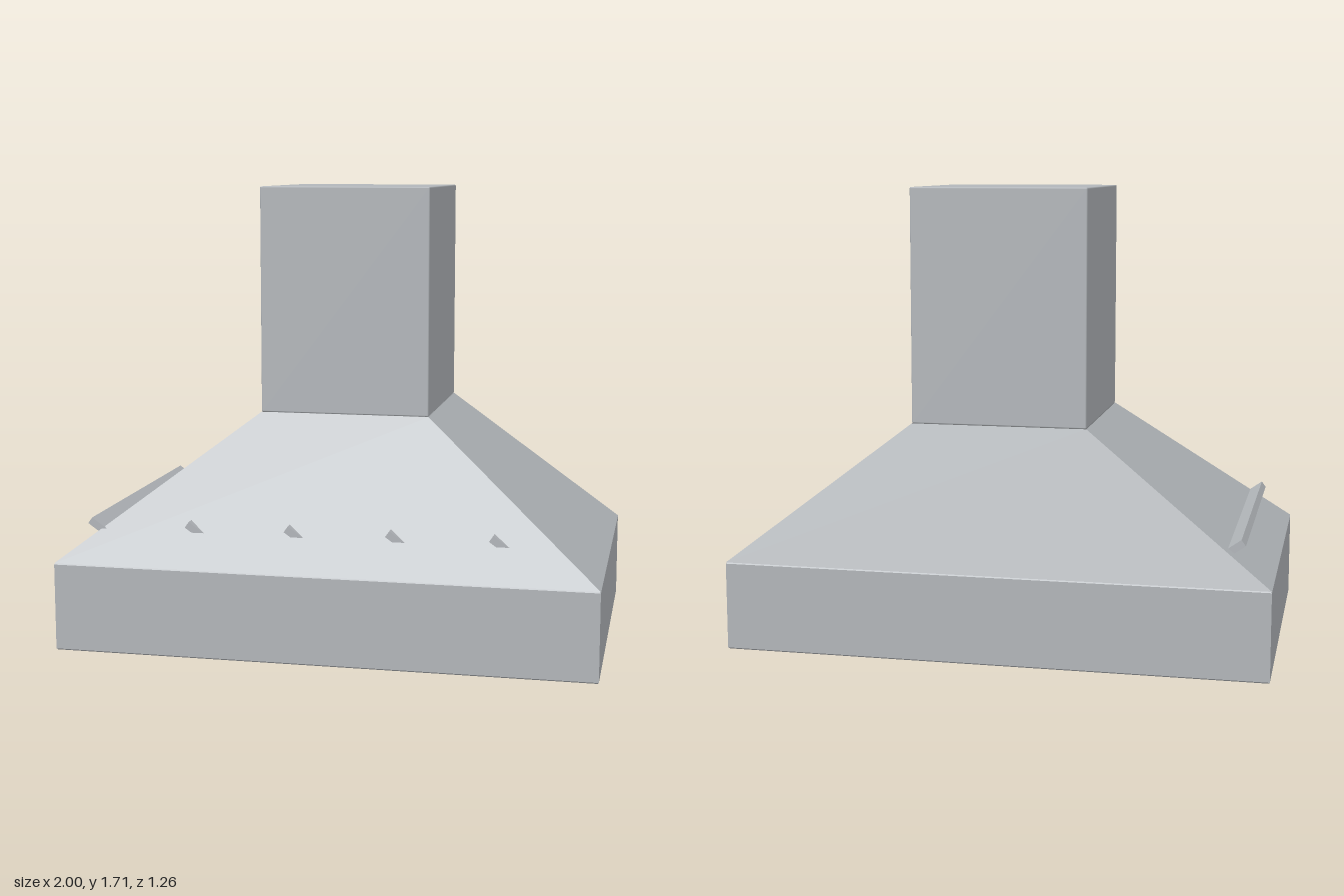
import * as THREE from 'three';
import { RoundedBoxGeometry } from 'three/addons/geometries/RoundedBoxGeometry.js';

const W = 1, D = 0.63, BASE_H = 0.33, HOOD_TOP = 0.85, TOP = 1.705, WALL = 0.03;
const DUCT = { x: 0.323, back: -0.483, front: 0.183 };

// rectangle in x/z at height y, as four corners
const ring = (x, back, front, y) => [[-x, y, front], [x, y, front], [x, y, back], [-x, y, back]];

// flat faces joining successive rings
function loft(rings) {
  const pos = [];
  for (let r = 0; r < rings.length - 1; r++) {
    const a = rings[r], b = rings[r + 1];
    for (let i = 0; i < 4; i++) {
      const j = (i + 1) % 4;
      pos.push(...a[i], ...a[j], ...b[j], ...a[i], ...b[j], ...b[i]);
    }
  }
  const g = new THREE.BufferGeometry();
  g.setAttribute('position', new THREE.Float32BufferAttribute(pos, 3));
  g.computeVertexNormals();
  return g;
}

function rectPath(path, x, z) {
  path.moveTo(-x, -z);
  path.lineTo(x, -z);
  path.lineTo(x, z);
  path.lineTo(-x, z);
  path.closePath();
  return path;
}

export function createModel() {
  const group = new THREE.Group();
  const steel = new THREE.MeshStandardMaterial({ color: 0xb2b6ba, side: THREE.DoubleSide });
  steel.name = 'brushed steel';

  const add = (name, geometry, x = 0, y = 0, z = 0) => {
    const mesh = new THREE.Mesh(geometry, steel);
    mesh.name = name;
    mesh.position.set(x, y, z);
    group.add(mesh);
    return mesh;
  };

  // open frame around the bottom, with a small bevel
  const bevel = 0.005;
  const outline = rectPath(new THREE.Shape(), W, D);
  outline.holes.push(rectPath(new THREE.Path(), W - WALL, D - WALL));
  const frame = new THREE.ExtrudeGeometry(outline, {
    depth: BASE_H - 2 * bevel, bevelEnabled: true, bevelSize: bevel,
    bevelThickness: bevel, bevelOffset: -bevel, bevelSegments: 1,
  });
  frame.rotateX(-Math.PI / 2);
  add('baseFrame', frame, 0, bevel, 0);

  // sloping canopy, a thin shell that is hollow underneath
  add('canopy', loft([
    ring(W, -D, D, BASE_H),
    ring(DUCT.x, DUCT.back, DUCT.front, HOOD_TOP),
  ]));

  // chimney
  add('chimney',
    new RoundedBoxGeometry(2 * DUCT.x, TOP - HOOD_TOP, DUCT.front - DUCT.back, 1, 0.005),
    0, (TOP + HOOD_TOP) / 2, (DUCT.front + DUCT.back) / 2);

  // tilted baffles across the opening
  for (let i = -2; i <= 2; i++) {
    const baffle = add('baffle', new THREE.BoxGeometry(0.35, 0.027, 1.07), i * 0.375, 0.375, -0.005);
    baffle.rotation.z = -0.61;
  }

  // light bar near the front of the underside
  add('lightBar', new THREE.BoxGeometry(0.9, 0.035, 0.06), 0, 0.03, 0.45);

  return group;
}
